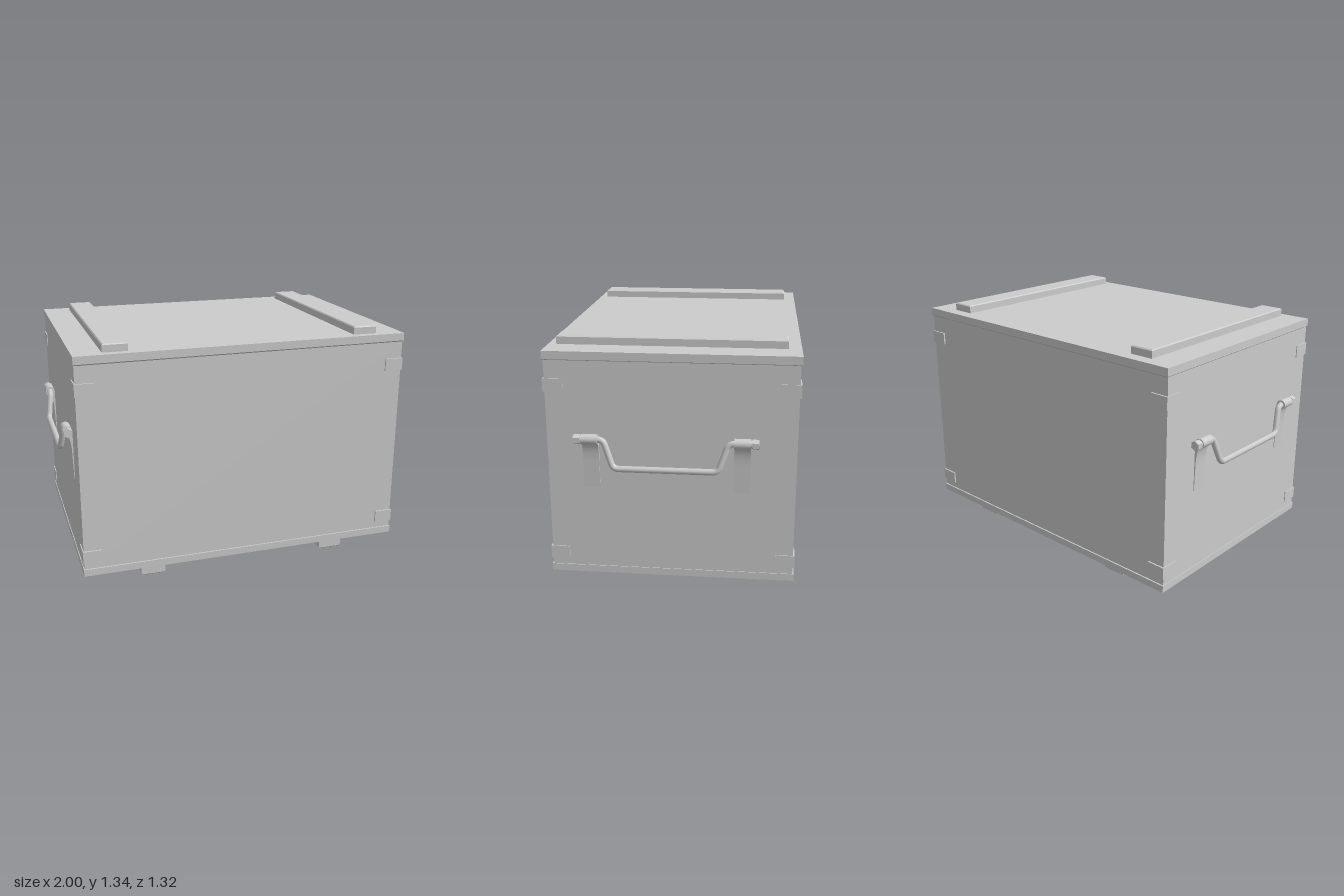
import * as THREE from 'three';

const material = new THREE.MeshStandardMaterial({ color: 0xcccccc });

function add(parent, geometry, name, x = 0, y = 0, z = 0) {
  const mesh = new THREE.Mesh(geometry, material);
  mesh.name = name;
  mesh.position.set(x, y, z);
  parent.add(mesh);
  return mesh;
}

// Box whose outer face (top: dir 1, bottom: dir -1) is slightly chamfered
function chamferedSlat(w, h, d, dir, bevel = 0.006) {
  const geo = new THREE.BoxGeometry(w, h, d, 1, 2, 1);
  const p = geo.attributes.position;
  for (let i = 0; i < p.count; i++) {
    const y = p.getY(i) * dir;
    if (Math.abs(y) < 1e-6) p.setY(i, dir * (h / 2 - bevel));
    else if (y > 0) {
      p.setX(i, p.getX(i) - Math.sign(p.getX(i)) * bevel);
      p.setZ(i, p.getZ(i) - Math.sign(p.getZ(i)) * bevel);
    }
  }
  const flat = geo.toNonIndexed();
  flat.computeVertexNormals();
  return flat;
}

// L-shaped corner plate, outer corner at the origin, legs along -x and -z
function bracketGeometry(height) {
  const leg = 0.105, t = 0.02;
  const shape = new THREE.Shape([
    [0, 0], [0, leg], [-t, leg], [-t, t], [-leg, t], [-leg, 0],
  ].map(([x, y]) => new THREE.Vector2(x, y)));
  const geo = new THREE.ExtrudeGeometry(shape, { depth: height, bevelEnabled: false });
  return geo.rotateX(-Math.PI / 2);
}

// Handle for the +x end: swinging bar, two strap clamps and hex nuts
function createHandle() {
  const handle = new THREE.Group();
  const px = 0.96, py = 0.838, r = 0.027;

  // Bent bar with rounded corners
  const pts = [
    [px, py, 0.45], [px, py, 0.325], [0.983, 0.688, 0.272],
    [0.983, 0.688, -0.272], [px, py, -0.325], [px, py, -0.45],
  ].map(a => new THREE.Vector3(...a));
  const path = new THREE.CurvePath();
  let last = pts[0];
  for (let i = 1; i < pts.length - 1; i++) {
    const a = pts[i].clone().add(pts[i - 1].clone().sub(pts[i]).setLength(0.03));
    const b = pts[i].clone().add(pts[i + 1].clone().sub(pts[i]).setLength(0.03));
    path.add(new THREE.LineCurve3(last, a));
    path.add(new THREE.QuadraticBezierCurve3(a, pts[i], b));
    last = b;
  }
  path.add(new THREE.LineCurve3(last, pts[pts.length - 1]));
  add(handle, new THREE.TubeGeometry(path, 120, 0.017, 10, false), 'handleBar');

  // Clamp profile: round collar that flows into a thin tapering strap
  const profile = new THREE.Shape();
  profile.moveTo(0.928, 0.56);
  profile.lineTo(0.934, 0.56);
  profile.lineTo(0.938, 0.70);
  profile.quadraticCurveTo(0.94, 0.79, px, py - r);
  profile.absarc(px, py, r, -Math.PI / 2, Math.PI, false);
  profile.lineTo(0.928, py);
  const clamp = new THREE.ExtrudeGeometry(profile, {
    depth: 0.085, bevelEnabled: false, curveSegments: 16,
  });
  for (const s of [1, -1]) {
    add(handle, clamp, 'handleClamp', 0, 0, s * 0.395 - 0.0425);
    const nut = new THREE.CylinderGeometry(0.027, 0.027, 0.034, 6)
      .toNonIndexed().rotateX(Math.PI / 2);
    nut.computeVertexNormals();
    add(handle, nut, 'handleNut', px, py, s * 0.461);
    const washer = new THREE.CylinderGeometry(0.021, 0.021, 0.06, 16).rotateX(Math.PI / 2);
    add(handle, washer, 'handlePin', px, py, s * 0.45);
  }
  return handle;
}

export function createModel() {
  const crate = new THREE.Group();
  crate.name = 'crate';

  // Case, lid and base board
  add(crate, new THREE.BoxGeometry(1.862, 1.16, 1.302), 'body', 0, 0.67, 0);
  add(crate, chamferedSlat(1.87, 0.05, 1.318, -1, 0.007), 'lid', 0, 1.27, 0);
  add(crate, new THREE.BoxGeometry(1.87, 0.04, 1.318), 'baseBoard', 0, 0.075, 0);

  // Slats on the lid and runners underneath
  for (const s of [1, -1]) {
    add(crate, chamferedSlat(0.136, 0.047, 1.206, 1), 'lidSlat', s * 0.71, 1.3165, 0.013);
    add(crate, chamferedSlat(0.138, 0.057, 1.254, -1), 'runner', s * 0.543, 0.0285, 0.017);
  }

  // Corner plates, one upper and one lower at each upright edge
  const bracket = bracketGeometry(0.07);
  [[1, 1], [1, -1], [-1, -1], [-1, 1]].forEach(([sx, sz], i) => {
    for (const y of [1.08, 0.133]) {
      add(crate, bracket, 'cornerBracket', sx * 0.936, y, sz * 0.66)
        .rotation.y = i * Math.PI / 2;
    }
  });

  // A handle on each end
  for (const [name, turn] of [['leftHandle', 0], ['rightHandle', Math.PI]]) {
    const handle = createHandle();
    handle.name = name;
    handle.rotation.y = turn;
    handle.position.z = 0.024;
    crate.add(handle);
  }
  return crate;
}
